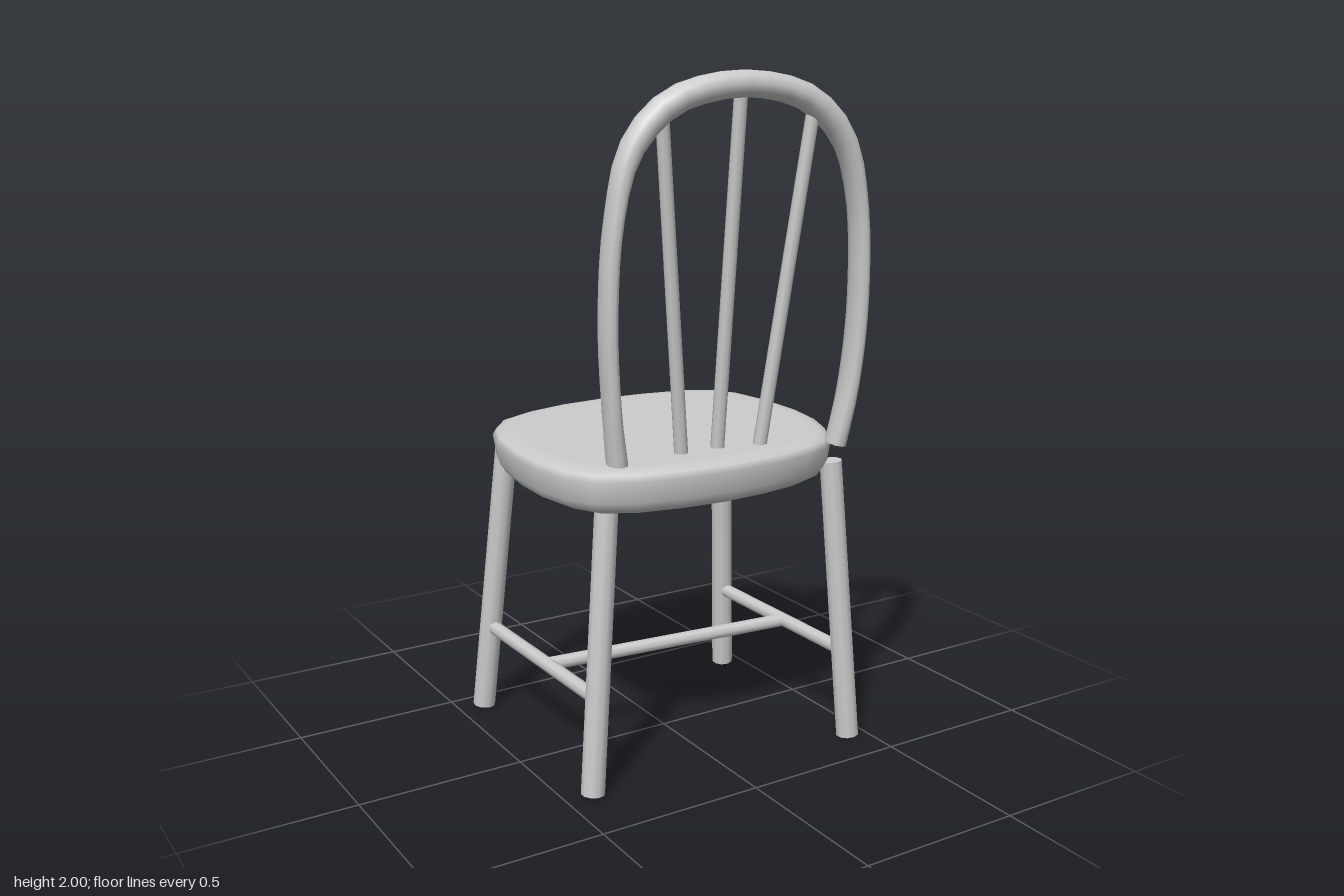
import * as THREE from 'three';

const V = (x, y, z) => new THREE.Vector3(x, y, z);
const paint = new THREE.MeshStandardMaterial({ color: 0xcccccc });
paint.name = 'plain grey';

// Skin a stack of equal rings (each counter-clockwise about the stacking direction)
function loft(rings) {
  const n = rings[0].length, index = [];
  for (let i = 0; i < rings.length - 1; i++) {
    for (let j = 0; j < n; j++) {
      const k = (j + 1) % n, a = i * n, b = a + n;
      index.push(a + j, a + k, b + k, a + j, b + k, b + j);
    }
  }
  const geometry = new THREE.BufferGeometry().setFromPoints(rings.flat());
  geometry.setIndex(index);
  geometry.computeVertexNormals();
  return geometry;
}

// Round rod between two points
function rod(a, b, rA, rB, sides) {
  const dir = b.clone().sub(a);
  const geometry = new THREE.CylinderGeometry(rB, rA, dir.length(), sides);
  geometry.applyQuaternion(new THREE.Quaternion().setFromUnitVectors(V(0, 1, 0), dir.normalize()));
  const mid = a.clone().add(b).multiplyScalar(0.5);
  return geometry.translate(mid.x, mid.y, mid.z);
}

// Rounded slab seat with softened edges
function seatGeometry() {
  const outline = [
    [-0.505, 0.14], [-0.485, 0.27], [-0.44, 0.355], [-0.34, 0.408], [-0.2, 0.436],
    [-0.05, 0.447], [0.1, 0.437], [0.23, 0.413], [0.32, 0.375], [0.38, 0.32],
    [0.43, 0.24], [0.475, 0.13], [0.5, 0], [0.505, -0.16], [0.485, -0.3],
    [0.44, -0.38], [0.35, -0.43], [0.2, -0.459], [0.05, -0.468], [-0.12, -0.455],
    [-0.26, -0.42], [-0.36, -0.37], [-0.43, -0.28], [-0.475, -0.16], [-0.5, 0],
  ];
  // [height, scale of the outline]
  const profile = [
    [0.83, 0], [0.83, 0.78], [0.831, 0.89], [0.845, 0.945], [0.87, 0.98], [0.93, 1],
    [0.948, 0.98], [0.957, 0.93], [0.96, 0.84], [0.958, 0],
  ];
  return loft(profile.map(([y, s]) => outline.map(([x, z]) => V(x * s, y, z * s))));
}

// Bent hoop, thicker at the crown than along the posts
function hoopGeometry() {
  const path = new THREE.CatmullRomCurve3([
    V(-0.338, 0.94, 0.31), V(-0.36, 1.1, 0.32), V(-0.379, 1.35, 0.335), V(-0.366, 1.62, 0.348),
    V(-0.32, 1.8, 0.36), V(-0.22, 1.91, 0.378), V(-0.08, 1.955, 0.395), V(0.06, 1.958, 0.408),
    V(0.2, 1.92, 0.42), V(0.31, 1.82, 0.425), V(0.37, 1.65, 0.42), V(0.392, 1.35, 0.41),
    V(0.38, 1.1, 0.39), V(0.355, 0.94, 0.372),
  ]);
  const steps = 40, sides = 10, rings = [];
  for (let i = 0; i <= steps; i++) {
    const u = i / steps, p = path.getPointAt(u), t = path.getTangentAt(u);
    const n = V(-0.08, 0, 1).cross(t).normalize();
    const w = t.clone().cross(n);
    const crown = THREE.MathUtils.smoothstep(p.y, 1.6, 1.9);
    const foot = 1 - THREE.MathUtils.smoothstep(p.y, 0.95, 1.15);
    const thick = 0.023 + 0.014 * crown + 0.006 * foot;
    const wide = 0.044 - 0.004 * crown - 0.006 * foot;
    const ring = [];
    for (let j = 0; j < sides; j++) {
      const a = (j + 0.5) / sides * Math.PI * 2;
      ring.push(p.clone().addScaledVector(n, Math.cos(a) * thick).addScaledVector(w, Math.sin(a) * wide));
    }
    // close the ends with flat caps
    const cap = ring.map(() => p.clone());
    const copy = () => ring.map((q) => q.clone());
    if (i === 0) rings.push(cap, copy());
    rings.push(ring);
    if (i === steps) rings.push(copy(), cap);
  }
  return loft(rings);
}

export function createModel() {
  const chair = new THREE.Group();
  chair.name = 'chair';
  const add = (name, geometry) => {
    const mesh = new THREE.Mesh(geometry, paint);
    mesh.name = name;
    chair.add(mesh);
  };

  add('seat', seatGeometry());
  add('backHoop', hoopGeometry());

  // Spindles fanning out inside the hoop
  const spindles = [
    [V(-0.125, 0.945, 0.295), V(-0.235, 1.9, 0.37)],
    [V(-0.006, 0.945, 0.295), V(-0.006, 1.95, 0.395)],
    [V(0.118, 0.945, 0.325), V(0.22, 1.9, 0.412)],
  ];
  spindles.forEach(([a, b]) => add('spindle', rod(a, b, 0.02, 0.019, 8)));

  // Splayed legs, foot to top
  const legs = {
    backLeftLeg: [V(0.438, 0.004, 0.365), V(0.375, 0.875, 0.328)],
    backRightLeg: [V(-0.415, 0.002, 0.29), V(-0.345, 0.87, 0.263)],
    frontLeftLeg: [V(0.432, 0.008, -0.315), V(0.37, 0.87, -0.24)],
    frontRightLeg: [V(-0.42, 0.008, -0.42), V(-0.36, 0.87, -0.335)],
  };
  for (const [name, [foot, top]] of Object.entries(legs)) add(name, rod(foot, top, 0.035, 0.034, 10));

  // Side stretchers joined by a cross stretcher
  const at = (name, y) => {
    const [foot, top] = legs[name];
    return foot.clone().lerp(top, (y - foot.y) / (top.y - foot.y));
  };
  const left = [at('backLeftLeg', 0.28), at('frontLeftLeg', 0.28)];
  const right = [at('backRightLeg', 0.28), at('frontRightLeg', 0.28)];
  add('leftStretcher', rod(...left, 0.021, 0.021, 8));
  add('rightStretcher', rod(...right, 0.021, 0.021, 8));
  add('crossStretcher', rod(left[0].clone().lerp(left[1], 0.46), right[0].clone().lerp(right[1], 0.44), 0.021, 0.021, 8));

  return chair;
}
